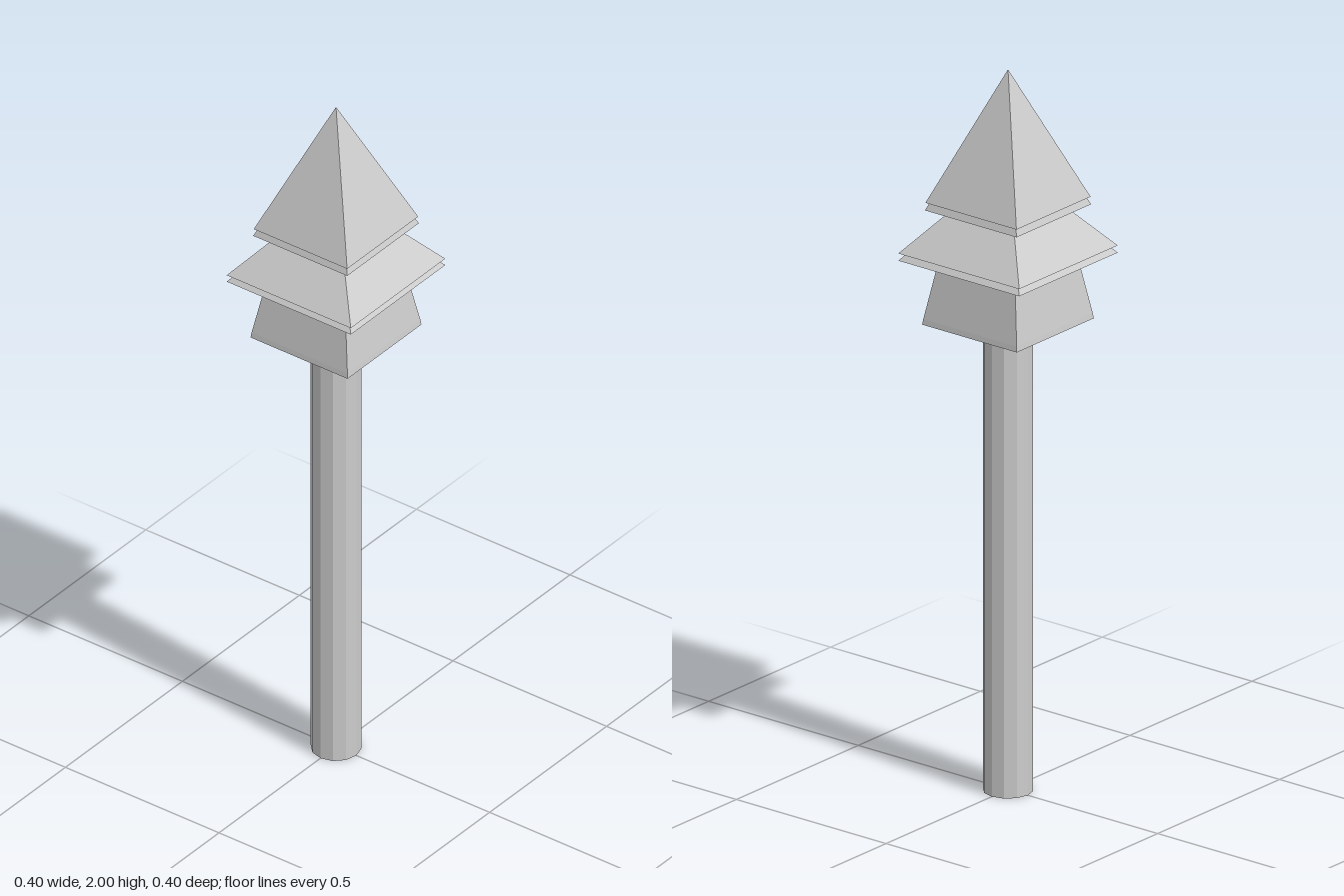
import * as THREE from 'three';

const material = new THREE.MeshStandardMaterial({ color: 0xcccccc, flatShading: true, side: THREE.DoubleSide });

function addPart(group, name, geometry) {
  const flat = geometry.toNonIndexed();
  flat.computeVertexNormals();
  const mesh = new THREE.Mesh(flat, material);
  mesh.name = name;
  group.add(mesh);
}

// Square tier: profile of [half width, height] swept around four sides
function squareTier(profile) {
  const points = profile.map(([half, y]) => new THREE.Vector2(half * Math.SQRT2, y));
  return new THREE.LatheGeometry(points, 4, Math.PI / 4);
}

export function createModel() {
  const group = new THREE.Group();
  group.name = 'spiredPost';

  // Open-ended faceted pole
  const pole = new THREE.CylinderGeometry(0.066, 0.066, 1.3, 12, 1, true);
  pole.translate(0, 0.65, 0);
  addPart(group, 'pole', pole);

  // Stacked roof tiers, each with a thin lip at its base
  const tiers = {
    lowerTier: [[0, 1.3], [0.158, 1.3], [0.156, 1.315], [0.127, 1.48], [0, 1.48]],
    middleTier: [[0, 1.48], [0.202, 1.48], [0.187, 1.498], [0.202, 1.5], [0.1, 1.62], [0, 1.62]],
    topSpire: [[0, 1.617], [0.153, 1.617], [0.145, 1.636], [0.152, 1.638], [0, 2]],
  };
  for (const [name, profile] of Object.entries(tiers)) addPart(group, name, squareTier(profile));

  return group;
}
